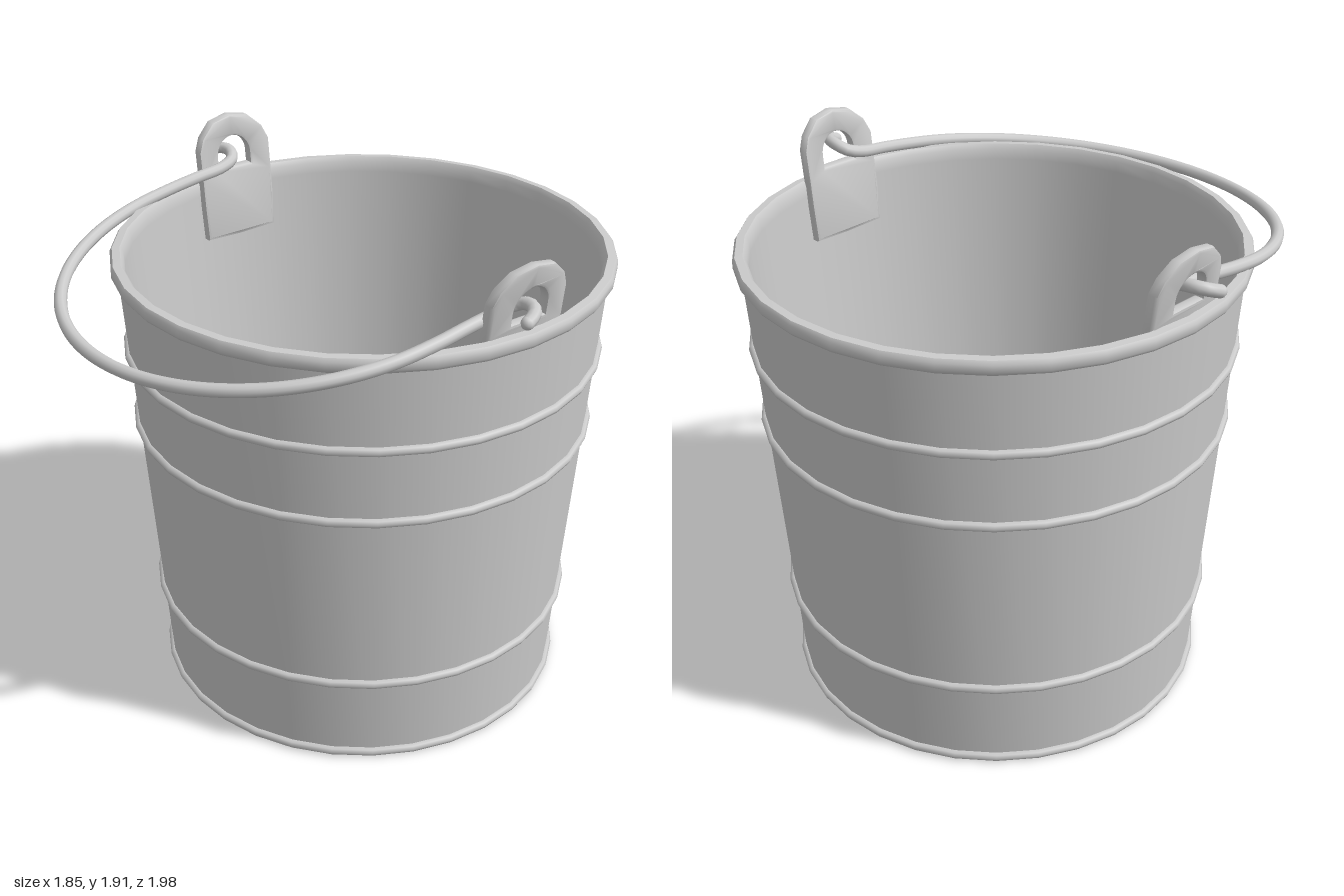
import * as THREE from 'three';
import { toCreasedNormals } from 'three/addons/utils/BufferGeometryUtils.js';

const SIDES = 32;
const material = new THREE.MeshStandardMaterial({ color: 0xcccccc });

// Outer wall radius at a given height
const wallRadius = (y) => 0.742 + 0.0675 * y;

function addMesh(parent, geometry, name) {
  const mesh = new THREE.Mesh(geometry, material);
  mesh.name = name;
  parent.add(mesh);
  return mesh;
}

// Hollow tapered body with a rolled lip, traced from base centre to inner floor centre
function bodyGeometry() {
  const profile = [
    [0, 0], [0.742, 0], [wallRadius(1.62), 1.62], [0.867, 1.625], [0.875, 1.637],
    [0.875, 1.663], [0.867, 1.675], [0.84, 1.677], [0.828, 1.66], [0.825, 1.62],
    [0.712, 0.03], [0, 0.03],
  ].map(([r, y]) => new THREE.Vector2(r, y));
  return toCreasedNormals(new THREE.LatheGeometry(profile, SIDES), 0.75);
}

// Pierced plate, drawn in depth and height, then leaned outward and curved to the wall
function earGeometry() {
  const shape = new THREE.Shape();
  const outline = [
    [-0.14, 1.46], [0, 1.45], [0.14, 1.46], [0.145, 1.58], [0.145, 1.68], [0.145, 1.79],
    [0.125, 1.835], [0.075, 1.88], [0, 1.895], [-0.075, 1.88], [-0.125, 1.835],
    [-0.145, 1.79], [-0.145, 1.68], [-0.145, 1.58],
  ];
  shape.setFromPoints(outline.map(([z, y]) => new THREE.Vector2(z, y)));
  const hole = new THREE.Path();
  hole.moveTo(-0.08, 1.7);
  hole.lineTo(-0.08, 1.755);
  hole.absarc(0, 1.755, 0.08, Math.PI, 0, true);
  hole.lineTo(0.08, 1.7);
  hole.closePath();
  shape.holes.push(hole);
  const geometry = new THREE.ExtrudeGeometry(shape, {
    depth: 0.022, bevelEnabled: true, bevelThickness: 0.01, bevelSize: 0.01,
    bevelSegments: 2, curveSegments: 8,
  });
  geometry.translate(0, 0, -0.011);
  geometry.rotateY(Math.PI / 2);
  const p = geometry.attributes.position;
  for (let i = 0; i < p.count; i++) {
    const h = p.getY(i) - 1.46;
    const z = p.getZ(i);
    p.setX(i, p.getX(i) + 0.8 + 0.07 * h + 0.09 * h * h - (z * z) / 1.66);
  }
  return toCreasedNormals(geometry, 0.7);
}

// Bail: half circle leaning forward, with hooked ends passing through the ears
function handlePoints() {
  const height = (z) => 1.585 + (0.965 - z) * 0.153;
  const hook = [
    [0.905, 1.752, -0.04], [0.895, 1.765, -0.075], [0.865, 1.772, -0.1],
    [0.82, 1.768, -0.105], [0.785, 1.752, -0.085], [0.772, 1.735, -0.03],
    [0.772, height(0.08), 0.08],
  ];
  const points = hook.map(([x, y, z]) => new THREE.Vector3(x, y, z));
  for (let i = 0; i <= 16; i++) {
    const a = (Math.PI * i) / 16;
    const z = 0.2 + 0.765 * Math.sin(a);
    points.push(new THREE.Vector3(0.772 * Math.cos(a), height(z), z));
  }
  for (const [x, y, z] of hook.reverse()) points.push(new THREE.Vector3(-x, y, z));
  return points;
}

export function createModel() {
  const model = new THREE.Group();
  model.name = 'bucket';

  // Pail
  const pail = new THREE.Group();
  pail.name = 'pail';
  pail.position.set(-0.018, 0, -0.118);
  model.add(pail);
  addMesh(pail, bodyGeometry(), 'body');

  // Raised hoops round the wall and the base
  for (const y of [0.018, 0.345, 1.05, 1.33]) {
    const hoop = new THREE.TorusGeometry(wallRadius(y), 0.017, 8, SIDES);
    hoop.rotateX(Math.PI / 2);
    hoop.rotateY(Math.PI / 2);
    hoop.translate(0, y, 0);
    addMesh(pail, hoop, 'hoop');
  }

  // Ears on both sides
  const ear = earGeometry();
  addMesh(pail, ear, 'leftEar');
  addMesh(pail, ear, 'rightEar').rotation.y = Math.PI;

  // Wire handle with rounded ends
  const handle = new THREE.Group();
  handle.name = 'handle';
  handle.position.x = -0.008;
  model.add(handle);
  const points = handlePoints();
  const curve = new THREE.CatmullRomCurve3(points);
  addMesh(handle, new THREE.TubeGeometry(curve, 140, 0.022, 10), 'handleWire');
  for (const end of [points[0], points[points.length - 1]]) {
    addMesh(handle, new THREE.SphereGeometry(0.022, 10, 8), 'handleEnd').position.copy(end);
  }
  return model;
}
